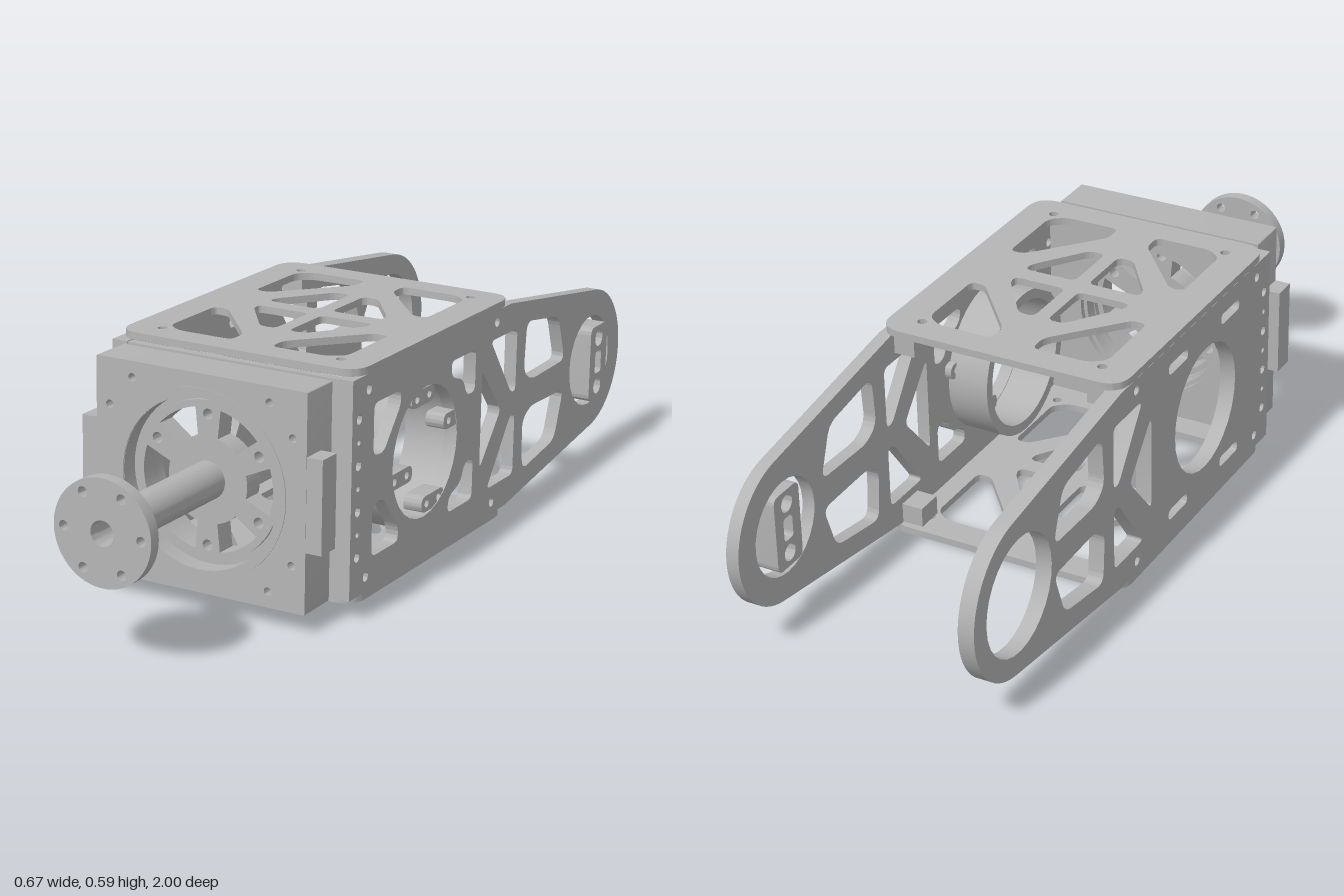
import * as THREE from 'three';
import { toCreasedNormals } from 'three/addons/utils/BufferGeometryUtils.js';

const metal = new THREE.MeshStandardMaterial({ color: 0xb4b4b4 });
metal.name = 'machined grey metal';

// closed path with softened corners
function rounded(path, pts, r) {
  const v = pts.map(p => new THREE.Vector2(p[0], p[1]));
  const n = v.length;
  v.forEach((p, i) => {
    const a = v[(i + n - 1) % n], b = v[(i + 1) % n];
    const ra = Math.min(r, p.distanceTo(a) * 0.45), rb = Math.min(r, p.distanceTo(b) * 0.45);
    const s = p.clone().add(a.clone().sub(p).setLength(ra));
    const e = p.clone().add(b.clone().sub(p).setLength(rb));
    if (i === 0) path.moveTo(s.x, s.y); else path.lineTo(s.x, s.y);
    path.quadraticCurveTo(p.x, p.y, e.x, e.y);
  });
  path.closePath();
  return path;
}
const poly = (pts, r = 0.02) => rounded(new THREE.Path(), pts, r);
const circle = (x, y, r) => new THREE.Path().absarc(x, y, r, 0, Math.PI * 2, true);
const disc = r => new THREE.Shape().absarc(0, 0, r, 0, Math.PI * 2, false);
const rect = (w, h, x = 0, y = 0) => [[x - w, y - h], [x + w, y - h], [x + w, y + h], [x - w, y + h]];
const flip = (pts, sx, sy) => pts.map(([x, y]) => [x * sx, y * sy]);

function extrude(name, shape, holes, depth, segments = 14) {
  shape.holes.push(...holes);
  const g = new THREE.ExtrudeGeometry(shape, { depth, bevelEnabled: false, curveSegments: segments });
  const m = new THREE.Mesh(toCreasedNormals(g, 0.5), metal);
  m.name = name;
  return m;
}
// plate facing sideways: shape x runs towards the back
function sidePart(name, shape, holes, x, depth, seg) {
  const m = extrude(name, shape, holes, depth, seg);
  m.rotation.y = Math.PI / 2;
  m.position.x = x;
  return m;
}
function frontPart(name, shape, holes, z, depth, seg) {
  const m = extrude(name, shape, holes, depth, seg);
  m.position.z = z;
  return m;
}

// body side that tapers to a round arm end
function armOutline(r) {
  const s = new THREE.Shape();
  const a = Math.PI - Math.atan2(0.262, 0.48) - Math.acos(r / Math.hypot(0.48, 0.262));
  s.moveTo(-0.475, -0.262);
  s.lineTo(0.32, -0.262);
  s.absarc(0.8, 0, r, -a, a, false);
  s.lineTo(0.32, 0.262);
  s.lineTo(-0.475, 0.262);
  s.closePath();
  return s;
}

function armHoles() {
  const holes = [poly([[0.171, -0.125], [0.28, 0], [0.171, 0.125]])];
  for (const s of [1, -1]) {
    holes.push(
      poly(flip([[0.215, 0.19], [0.36, 0.19], [0.36, 0.03], [0.335, 0.03]], 1, s)),
      poly(flip([[0.415, 0.195], [0.6, 0.165], [0.645, 0.04], [0.45, 0.035], [0.405, 0.065]], 1, s), 0.03),
      circle(0.245, s * 0.232, 0.012), circle(-0.4, s * 0.225, 0.012));
  }
  for (let i = -3; i <= 3; i++) holes.push(circle(-0.443, i * 0.055, i % 2 ? 0.012 : 0.007));
  return holes;
}

// top and bottom covers with triangular windows
function cover(name, y) {
  const outer = [[0.054, 0.318], [0.2, 0.318], [0.238, 0.29], [0.238, 0.095], [0.2, 0.095], [0.054, 0.265]];
  const inner = [[0.0185, 0.024], [0.155, 0.024], [0.155, 0.05], [0.06, 0.18], [0.0185, 0.18]];
  const holes = [];
  for (const sx of [1, -1]) for (const sy of [1, -1]) {
    holes.push(poly(flip(outer, sx, sy)), poly(flip(inner, sx, sy)), circle(sx * 0.24, sy * 0.322, 0.012));
  }
  const m = extrude(name, rounded(new THREE.Shape(), rect(0.321, 0.39), 0.06), holes, 0.018);
  m.rotation.x = -Math.PI / 2;
  m.position.set(0, y, 0.065);
  return m;
}

export function createModel() {
  const model = new THREE.Group();
  model.name = 'actuatorBracket';
  const body = new THREE.Group();
  body.name = 'tiltedAssembly';
  body.position.set(-0.0135, 0.29, 0);
  body.rotation.x = -0.034;
  model.add(body);

  // left side: relief pockets round the bore
  const pockets = [];
  for (const s of [1, -1]) pockets.push(
    poly(flip([[-0.374, 0.185], [-0.246, 0.185], [-0.246, 0.15], [-0.325, 0.055], [-0.374, 0.06]], 1, s)),
    poly(flip([[0.005, 0.19], [0.134, 0.19], [0.134, 0.085], [0.09, 0.085], [0.07, 0.13], [0.01, 0.15]], 1, s)));
  body.add(sidePart('leftSidePlate', armOutline(0.187),
    [...armHoles(), ...pockets, circle(-0.118, 0, 0.162), circle(0.8, 0, 0.12)], 0.288, 0.033));

  // right side: open bore and slots
  const slots = [];
  for (const u of [-0.25, 0.03]) for (const v of [-0.2, 0.2]) slots.push(poly(rect(0.05, 0.014, u, v), 0.014));
  body.add(sidePart('rightSidePlate', armOutline(0.198),
    [...armHoles(), ...slots, circle(-0.118, 0, 0.165), circle(0.8, 0, 0.145)], -0.3215, 0.04));

  // slotted mounting tabs and the collar inside the left bore
  [[-0.131, 0.138], [0.033, 0.045], [-0.235, -0.035], [-0.07, -0.135]].forEach(([u, v]) => {
    body.add(sidePart('mountingTab', rounded(new THREE.Shape(), rect(0.056, 0.02, u, v), 0.02),
      [circle(u - 0.03, v, 0.01), circle(u + 0.03, v, 0.01)], 0.27, 0.049, 8));
  });
  const collar = sidePart('boreCollar', disc(0.19), [circle(0, 0, 0.164)], 0.18, 0.108, 24);
  collar.position.z = 0.118;
  body.add(collar);

  // slotted block in the left arm eye
  body.add(sidePart('pivotBlock', rounded(new THREE.Shape(), rect(0.05, 0.1, 0.8, 0), 0.02),
    [circle(0.8, 0.065, 0.022), circle(0.8, -0.065, 0.022), poly(rect(0.018, 0.03, 0.8, 0), 0.01)], 0.28, 0.067));

  body.add(cover('topCover', 0.262), cover('bottomCover', -0.28));

  // rear corner blocks
  for (const x of [-0.255, 0.26]) for (const y of [-0.235, 0.235]) {
    const b = new THREE.Mesh(new THREE.BoxGeometry(0.055, 0.05, 0.07), metal);
    b.name = 'cornerBlock';
    b.position.set(x, y, -0.275);
    body.add(b);
  }

  // front bulkhead and bearing collar
  body.add(frontPart('frontBulkhead', rounded(new THREE.Shape(), rect(0.287, 0.26), 0.005), [circle(0, 0, 0.2)], 0.45, 0.023, 24));
  body.add(frontPart('bearingCollar', disc(0.215), [circle(0, 0, 0.19)], 0.465, 0.04, 28));

  // square flange with side ears
  const bolts = [];
  for (const sx of [1, -1]) for (const sy of [1, -1]) {
    bolts.push(circle(sx * 0.182, sy * 0.223, 0.01), circle(sx * 0.243, sy * 0.15, 0.01));
  }
  body.add(frontPart('frontFlange', rounded(new THREE.Shape(), rect(0.279, 0.262), 0.004),
    [...bolts, circle(0, 0, 0.205)], 0.495, 0.11, 28));
  body.add(frontPart('flangeRim', disc(0.228), [circle(0, 0, 0.206)], 0.604, 0.003, 28));
  for (const s of [1, -1]) {
    const ear = new THREE.Mesh(new THREE.BoxGeometry(0.045, 0.225, 0.062), metal);
    ear.name = 'flangeEar';
    ear.position.set(s * 0.297, 0, 0.573);
    body.add(ear);
  }

  // hub with six kidney windows and six bolt holes
  const windows = [];
  for (let k = 0; k < 6; k++) {
    const a = k * Math.PI / 3, b = a + Math.PI / 6;
    const w = new THREE.Path();
    w.absarc(0, 0, 0.173, a - 0.33, a + 0.33, false);
    w.absarc(0, 0, 0.105, a + 0.27, a - 0.27, true);
    w.closePath();
    windows.push(w, circle(0.157 * Math.cos(b), 0.157 * Math.sin(b), 0.013));
  }
  body.add(frontPart('spokedHub', disc(0.19), [...windows, circle(0, 0, 0.03)], 0.515, 0.055, 24));
  body.add(frontPart('hubRing', disc(0.206), [circle(0, 0, 0.188)], 0.5, 0.06, 28));

  // hollow output shaft and its end disc
  body.add(frontPart('outputShaft', disc(0.046), [circle(0, 0, 0.03)], 0.51, 0.465, 20));
  const discHoles = [circle(0, 0, 0.03)];
  for (let k = 0; k < 6; k++) discHoles.push(circle(0.1 * Math.cos(k * Math.PI / 3), 0.1 * Math.sin(k * Math.PI / 3), 0.012));
  body.add(frontPart('outputDisc', disc(0.126), discHoles, 0.968, 0.03, 24));

  return model;
}
